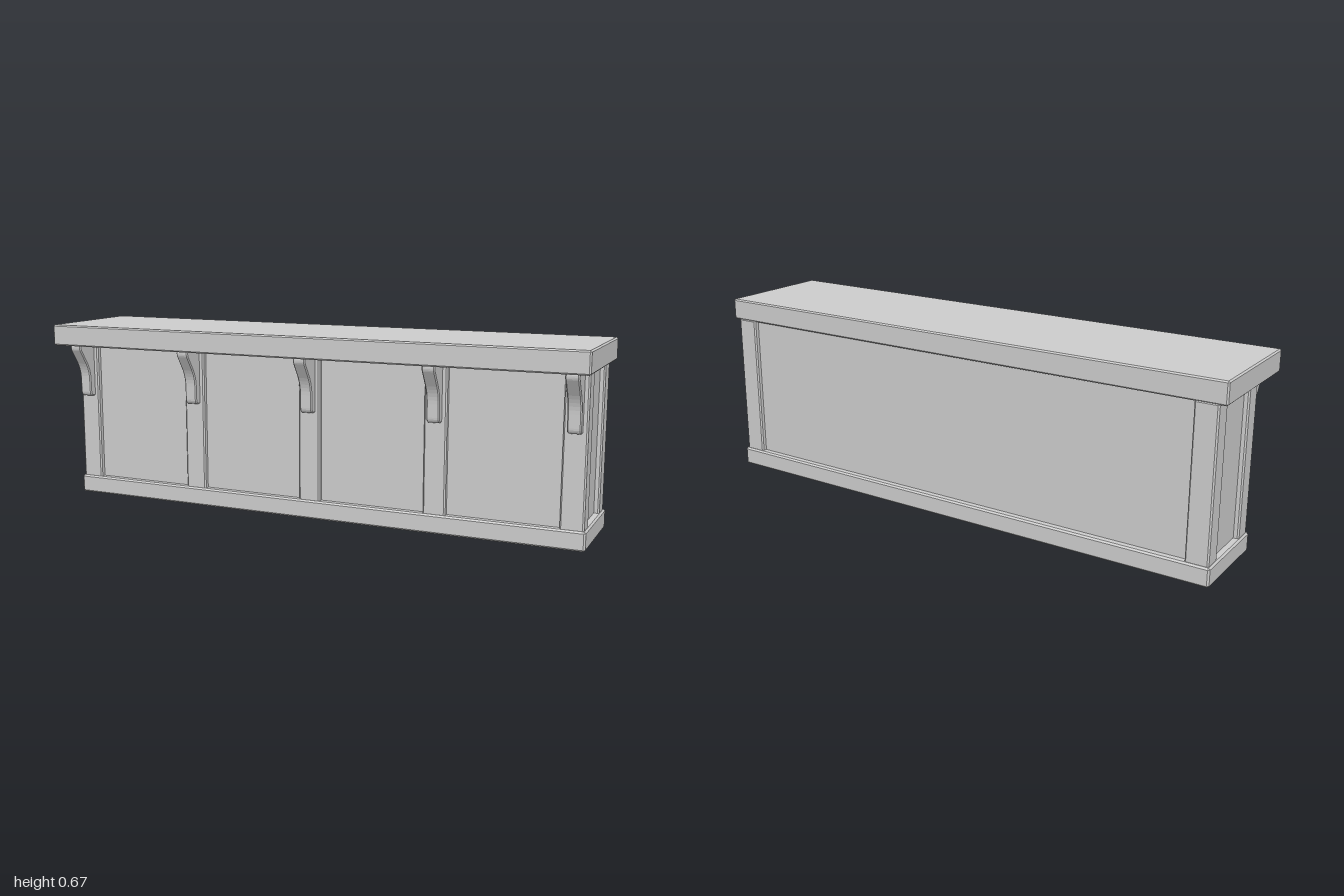
import * as THREE from 'three';
import { ConvexGeometry } from 'three/addons/geometries/ConvexGeometry.js';

const material = new THREE.MeshStandardMaterial({ color: 0xcccccc, flatShading: true });

// Box between two corners with chamfered edges
function chamferBox(name, [x0, x1], [y0, y1], [z0, z1], c = 0.005) {
  const half = [(x1 - x0) / 2, (y1 - y0) / 2, (z1 - z0) / 2];
  const points = [];
  for (const sx of [-1, 1]) for (const sy of [-1, 1]) for (const sz of [-1, 1]) {
    for (let full = 0; full < 3; full++) {
      const [x, y, z] = half.map((h, i) => (i === full ? h : h - c));
      points.push(new THREE.Vector3(sx * x, sy * y, sz * z));
    }
  }
  const mesh = new THREE.Mesh(new ConvexGeometry(points), material);
  mesh.position.set((x0 + x1) / 2, (y0 + y1) / 2, (z0 + z1) / 2);
  mesh.name = name;
  return mesh;
}

// Curved bracket profile, drawn in depth and height
function bracketGeometry(width, bevel) {
  const s = new THREE.Shape();
  s.moveTo(0.085, 0.59);
  s.lineTo(0.174, 0.59);
  s.quadraticCurveTo(0.18, 0.576, 0.174, 0.566);
  s.lineTo(0.14, 0.514);
  s.quadraticCurveTo(0.122, 0.483, 0.122, 0.45);
  s.lineTo(0.121, 0.405);
  s.quadraticCurveTo(0.121, 0.389, 0.106, 0.389);
  s.lineTo(0.085, 0.389);
  const g = new THREE.ExtrudeGeometry(s, {
    depth: width - 2 * bevel, bevelSize: bevel, bevelThickness: bevel,
    bevelSegments: 1, curveSegments: 5,
  });
  g.translate(0, 0, bevel - width / 2);
  g.rotateY(-Math.PI / 2);
  return g;
}

export function createModel() {
  const group = new THREE.Group();
  const height = [0.06, 0.592];

  // Countertop, plinth and recessed body panels
  group.add(
    chamferBox('countertop', [-1, 1], [0.588, 0.665], [-0.217, 0.226]),
    chamferBox('plinth', [-0.982, 0.982], [0, 0.067], [-0.225, 0.105], 0.006),
    chamferBox('bodyPanels', [-0.957, 0.957], height, [-0.199, 0.079], 0.001),
  );

  // Corner posts
  for (const side of [-1, 1]) {
    const x = side > 0 ? [0.895, 0.975] : [-0.975, -0.895];
    group.add(
      chamferBox('frontCornerPost', x, height, [0.032, 0.098]),
      chamferBox('backCornerPost', x, height, [-0.217, -0.15]),
    );
  }

  // Front posts between the panels
  for (const x of [-0.467, 0, 0.467]) {
    group.add(chamferBox('frontPost', [x - 0.04, x + 0.04], height, [0.04, 0.098]));
  }

  // Brackets under the overhang
  const bracket = bracketGeometry(0.046, 0.004);
  for (const x of [-0.935, -0.467, 0, 0.467, 0.935]) {
    const mesh = new THREE.Mesh(bracket, material);
    mesh.position.x = x;
    mesh.name = 'bracket';
    group.add(mesh);
  }
  return group;
}
